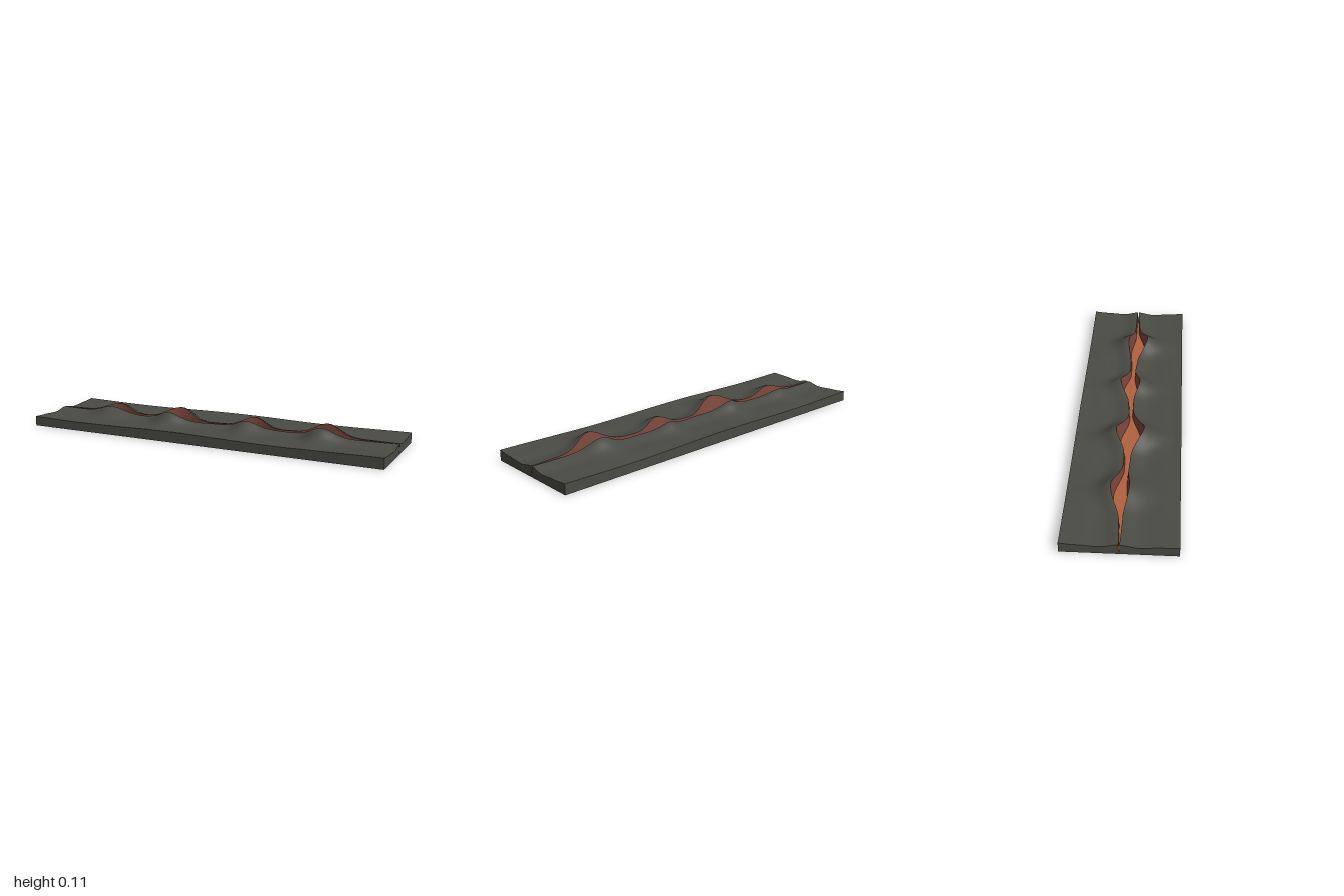
import * as THREE from 'three';

const HALF = 0.275, N = 120, M = 16, FLOOR = 0.012;

// Smooth interpolation through [x, value] pairs
function along(keys, x) {
  for (let i = 1; i < keys.length; i++) {
    const [x0, a] = keys[i - 1], [x1, b] = keys[i];
    if (x <= x1) return a + (b - a) * THREE.MathUtils.smoothstep(x, x0, x1);
  }
  return keys[keys.length - 1][1];
}

// Crack edges (z) along the slab
const frontEdge = [[-1, 0.003], [-0.82, 0.006], [-0.65, 0.028], [-0.5, 0.016], [-0.4, 0.02], [-0.22, 0.082],
  [0, 0.012], [0.08, 0.012], [0.2, 0.04], [0.36, 0.008], [0.45, 0.014], [0.62, 0.066], [0.85, 0.008], [1, -0.002]];
const backEdge = [[-1, -0.003], [-0.85, -0.01], [-0.65, -0.062], [-0.45, -0.012], [-0.38, -0.014], [-0.24, -0.062],
  [-0.04, -0.006], [0.05, -0.014], [0.21, -0.066], [0.37, -0.02], [0.45, -0.022], [0.59, -0.042], [0.8, -0.01], [1, -0.008]];
// Raised mounds beside the crack: position, height, spread
const mounds = [[-0.65, 0.039, 0.1], [-0.25, 0.054, 0.1], [0.2, 0.042, 0.08], [0.62, 0.055, 0.09]];

const swell = (x) => mounds.reduce((s, [c, h, w]) => s + h * Math.exp(-(((x - c) / w) ** 2)), 0);

// Ground height at a fraction u from the crack edge to the outer edge
function ground(x, u, width, side) {
  const outer = 0.052 + 0.004 * Math.sin(5.5 * x + (side > 0 ? 2.3 : 1.6));
  const base = along([[0, 0.057], [0.31, 0.042], [0.75, 0.049], [1, outer]], u);
  return base + swell(x) * Math.exp(-((u * width / 0.095) ** 2));
}

// Top surface point of one side, u = 0 at the crack
function topPoint(x, u, side) {
  const edge = along(side > 0 ? frontEdge : backEdge, x);
  const width = HALF - side * edge;
  return [edge + side * u * width, ground(x, u, width, side)];
}

// Foot of the crack wall, a little inside the lip
function foot(x, side) {
  const f = along(frontEdge, x), b = along(backEdge, x);
  const inset = (f - b) * 0.14;
  return [side > 0 ? f - inset : b + inset, FLOOR];
}

// Surface lofted along x; each section is listed from +z over the top to -z
function loft(name, material, section) {
  const pos = [], index = [];
  let cols = 0;
  for (let i = 0; i <= N; i++) {
    const x = -1 + 2 * i / N, pts = section(x);
    cols = pts.length;
    for (const [z, y] of pts) pos.push(x, y, z);
  }
  for (let i = 0; i < N; i++) for (let j = 0; j < cols - 1; j++) {
    const a = i * cols + j, b = a + cols;
    index.push(a, b, b + 1, a, b + 1, a + 1);
  }
  const g = new THREE.BufferGeometry();
  g.setAttribute('position', new THREE.Float32BufferAttribute(pos, 3));
  g.setIndex(index);
  g.computeVertexNormals();
  const mesh = new THREE.Mesh(g, material);
  mesh.name = name;
  return mesh;
}

function topRow(x, side) {
  const row = [];
  for (let j = 0; j <= M; j++) row.push(topPoint(x, side > 0 ? 1 - j / M : j / M, side));
  return row;
}

export function createModel() {
  const model = new THREE.Group();
  model.name = 'fissuredGround';
  const mat = (name, color) => {
    const m = new THREE.MeshStandardMaterial({ color });
    m.name = name;
    return m;
  };
  const rock = mat('darkRock', 0x4b4b45);
  const wall = mat('scorchedWall', 0x7a463a);
  const glow = mat('emberFloor', 0xb2623e);

  // Rock top and outer sides
  model.add(
    loft('frontSide', rock, (x) => [[HALF, 0], topPoint(x, 1, 1)]),
    loft('frontGround', rock, (x) => topRow(x, 1)),
    loft('backGround', rock, (x) => topRow(x, -1)),
    loft('backSide', rock, (x) => [topPoint(x, 1, -1), [-HALF, 0]]),
    loft('underside', rock, () => [[-HALF, 0], [HALF, 0]]),
  );

  // Crack walls and floor
  model.add(
    loft('frontCrackWall', wall, (x) => [topPoint(x, 0, 1), foot(x, 1)]),
    loft('crackFloor', glow, (x) => [foot(x, 1), foot(x, -1)]),
    loft('backCrackWall', wall, (x) => [foot(x, -1), topPoint(x, 0, -1)]),
  );

  // End faces follow the slab's cross-section
  for (const s of [-1, 1]) {
    const outline = [[HALF, 0], ...topRow(s, 1), foot(s, 1), foot(s, -1), ...topRow(s, -1), [-HALF, 0]];
    const shape = new THREE.Shape(outline.map(([z, y]) => new THREE.Vector2(-s * z, y)));
    const end = new THREE.Mesh(new THREE.ShapeGeometry(shape), rock);
    end.rotation.y = s * Math.PI / 2;
    end.position.x = s;
    end.name = s > 0 ? 'leftEnd' : 'rightEnd';
    model.add(end);
  }
  return model;
}
